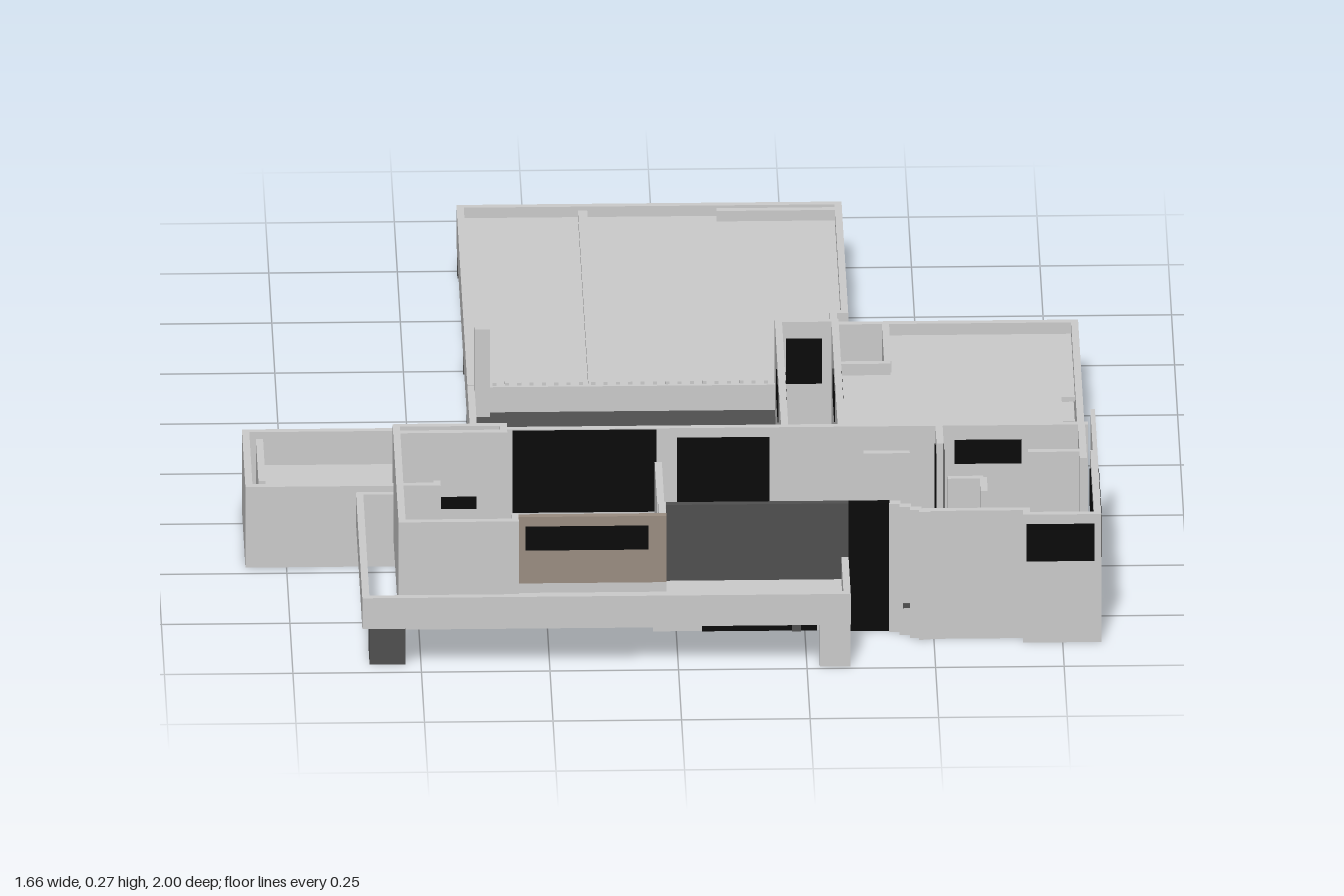
import * as THREE from 'three';

const mat = (color) => new THREE.MeshStandardMaterial({ color, side: THREE.DoubleSide });

export function createModel() {
  const root = new THREE.Group();
  root.name = 'house';
  const light = mat(0xcccccc), dark = mat(0x505050), black = mat(0x0a0a0a), tan = mat(0x9a8d82);
  const T = 0.014; // wall thickness
  const F = 0.058; // underside of the raised main floor

  const box = (name, x0, x1, y0, y1, z0, z1, m = light) => {
    const mesh = new THREE.Mesh(new THREE.BoxGeometry(x1 - x0, y1 - y0, z1 - z0), m);
    mesh.position.set((x0 + x1) / 2, (y0 + y1) / 2, (z0 + z1) / 2);
    mesh.name = name;
    root.add(mesh);
  };
  // walls along x (centred on z) and along z (centred on x)
  const wallX = (name, x0, x1, z, y0, y1, m) => box(name, x0, x1, y0, y1, z - T / 2, z + T / 2, m);
  const wallZ = (name, x, z0, z1, y0, y1, m) => box(name, x - T / 2, x + T / 2, y0, y1, z0, z1, m);
  // glass passes right through its wall
  const paneX = (x0, x1, z, y0, y1) => box('window', x0, x1, y0, y1, z - T / 2 - 0.002, z + T / 2 + 0.002, black);
  const paneZ = (x, z0, z1, y0, y1) => box('window', x - T / 2 - 0.002, x + T / 2 + 0.002, y0, y1, z0, z1, black);
  // flat slab from an outline of [x, z] points
  const slab = (name, pts, y0, y1, m = light) => {
    const shape = new THREE.Shape(pts.map(([x, z]) => new THREE.Vector2(x, -z)));
    const geo = new THREE.ExtrudeGeometry(shape, { depth: y1 - y0, bevelEnabled: false });
    geo.rotateX(-Math.PI / 2);
    geo.translate(0, y0, 0);
    const mesh = new THREE.Mesh(geo, m);
    mesh.name = name;
    root.add(mesh);
  };

  // back wing: carport roof with deep fascia and parapet
  slab('backWingRoof', [[-0.38, -0.99], [0.12, -0.99], [0.12, -0.965], [0.35, -0.965], [0.35, -0.45],
    [0.33, -0.45], [0.33, -0.1], [-0.38, -0.1]], F, 0.118);
  wallX('backFascia', -0.385, 0.12, -0.993, F, 0.14);
  wallX('backWall', 0.12, 0.364, -0.993, 0, 0.14);
  wallX('backInnerParapet', 0.12, 0.36, -0.965, F, 0.14);
  wallZ('westFascia', -0.378, -1, -0.1, F, 0.14);
  wallZ('backWingEastWall', 0.357, -1, -0.443, 0, 0.14);
  wallX('backWingReturn', 0.33, 0.364, -0.45, 0, 0.14);
  wallZ('backWingInnerWall', 0.335, -0.45, -0.1, 0, 0.14);
  box('roofRidge', -0.149, -0.131, 0.118, 0.132, -0.986, -0.107);
  wallX('garageBackWall', -0.16, 0.12, -0.95, 0, F, dark);
  wallZ('garageSideWall', -0.16, -0.95, -0.45, 0, F, dark);
  for (const z of [-0.98, -0.5]) box('carportPost', -0.384, -0.355, 0, F, z - 0.016, z + 0.016, dark);
  box('carportPier', -0.384, -0.355, 0, F, -0.2, -0.1, dark);

  // east wing: roof and floor with two openings
  const eastPlan = [[0.43, -0.39], [0.8, -0.39], [0.8, -0.07], [0.77, -0.07], [0.77, 0.1], [0.8, 0.1],
    [0.8, 0.41], [0.33, 0.41], [0.33, -0.2], [0.43, -0.2]];
  slab('eastRoof', eastPlan, 0.106, 0.116);
  slab('eastFloor', eastPlan, F, 0.065);
  wallX('eastBackWall', 0.33, 0.81, -0.393, 0, 0.14);
  wallZ('eastSideWall', 0.803, -0.4, 0.41, 0, 0.14);
  wallZ('courtWall', 0.435, -0.4, -0.2, 0, 0.14);
  wallX('courtWall', 0.33, 0.44, -0.195, 0, 0.14);
  wallX('eastFooting', 0.33, 0.76, 0.05, 0, F);
  wallZ('eastFooting', 0.57, 0.05, 0.41, 0, F);

  // roof deck
  box('deckFloor', -0.38, 0.22, F, 0.085, -0.1, 0.42, dark);
  wallZ('deckWestWall', -0.378, -0.1, 0.42, 0, 0.138);
  wallX('deckBackWall', -0.38, 0.22, -0.1, F, 0.138);
  for (let i = 0; i < 24; i++) box('deckEdgeStud', -0.36 + i * 0.024, -0.352 + i * 0.024, 0.138, 0.144, -0.108, -0.1);
  box('chimney', -0.372, -0.342, 0, 0.27, -0.1, -0.07);

  // stair block
  for (const x of [0.22, 0.33]) {
    wallZ('stairWall', x, -0.1, 0.42, 0, 0.27);
    paneZ(x, 0.07, 0.22, 0.19, 0.24);
  }
  wallX('stairEndWall', 0.213, 0.337, -0.1, 0, 0.27);
  paneX(0.235, 0.305, -0.1, 0.14, 0.235);
  for (let i = 0; i < 8; i++) {
    const z = 0.22 + i * 0.022;
    box('stairStep', 0.227, 0.323, i * 0.008, 0.009 + i * 0.008, z, z + 0.023, dark);
  }

  // main floor of the front block, raised on footings
  slab('mainFloor', [[-0.53, 0.44], [-0.33, 0.44], [-0.33, 0.42], [0.79, 0.42], [0.79, 0.84], [0.44, 0.84], [0.44, 0.8],
    [-0.03, 0.8], [-0.03, 0.85], [-0.31, 0.85], [-0.31, 0.88], [-0.53, 0.88]], F, 0.067, dark);
  wallX('mainBackWall', -0.33, 0.81, 0.425, 0, 0.27);
  paneX(0.01, 0.19, 0.425, 0.105, 0.25);
  paneX(-0.31, -0.03, 0.425, 0.095, 0.268);
  paneX(0.55, 0.68, 0.425, 0.19, 0.24);
  wallX('westRoomBackWall', -0.54, -0.32, 0.405, 0, 0.27);
  wallX('westRoomInnerWall', -0.54, -0.32, 0.438, 0, 0.27);
  paneX(-0.48, -0.38, 0.438, 0.11, 0.135);
  wallZ('westRoomReturn', -0.327, 0.4, 0.44, 0, 0.27);
  wallZ('mainWestWall', -0.535, 0.4, 0.89, F, 0.27);
  wallX('mainFrontWall', -0.54, -0.31, 0.883, F, 0.27);
  wallZ('frontReturn', -0.315, 0.85, 0.89, F, 0.27);
  wallX('frontBase', -0.31, -0.02, 0.862, F, 0.13);
  wallX('brickPanel', -0.31, -0.02, 0.862, 0.13, 0.27, tan);
  paneX(-0.295, -0.055, 0.862, 0.2, 0.25);
  wallZ('frontReturn', -0.028, 0.8, 0.856, F, 0.27);
  wallX('frontBase', -0.02, 0.335, 0.808, F, 0.11);
  wallX('darkFrontPanel', -0.02, 0.335, 0.808, 0.11, 0.27, dark);
  wallX('entranceGlass', 0.335, 0.415, 0.808, 0, 0.27, black);
  for (const [x, z] of [[0.425, 0.815], [0.445, 0.83], [0.465, 0.845], [0.482, 0.855]])
    box('entranceFin', x - 0.011, x + 0.011, 0, 0.27, z - 0.012, z + 0.006);
  wallX('eastFrontWall', 0.48, 0.68, 0.85, 0, 0.27);
  wallZ('westRoomPartition', -0.03, 0.6, 0.8, 0.067, 0.27);
  wallX('partition', 0.37, 0.46, 0.56, 0.067, 0.27);
  wallX('partition', 0.69, 0.8, 0.56, 0.067, 0.27);
  wallX('partition', 0.53, 0.6, 0.69, 0.067, 0.27);
  wallZ('partition', 0.6, 0.69, 0.76, 0.067, 0.27);
  wallZ('partition', 0.52, 0.43, 0.52, 0.067, 0.27);
  paneZ(0.52, 0.45, 0.51, 0.1, 0.24);

  // projecting corner bay with wrap-round window, and side fin
  wallX('bayFrontWall', 0.675, 0.825, 0.873, 0, 0.27);
  wallZ('baySideWall', 0.818, 0.56, 0.88, 0, 0.27);
  wallZ('bayReturn', 0.68, 0.844, 0.88, 0, 0.27);
  paneX(0.68, 0.812, 0.873, 0.172, 0.25);
  paneZ(0.818, 0.605, 0.862, 0.172, 0.25);
  wallZ('eastInnerWall', 0.797, 0.42, 0.6, 0, 0.27);
  box('sideFin', 0.816, 0.825, 0, 0.27, 0.355, 0.56);

  // front balcony: slab, deep fascia and supports
  slab('balconySlab', [[-0.6, 0.88], [-0.31, 0.88], [-0.31, 0.86], [-0.03, 0.86], [-0.03, 0.8], [0.33, 0.8],
    [0.33, 0.99], [-0.6, 0.99]], 0.095, 0.11);
  wallX('balconyFascia', -0.615, 0.335, 0.993, 0.092, 0.157);
  box('balconyKerb', -0.6, 0.32, 0.11, 0.128, 0.955, 0.968);
  wallZ('balconyWestFascia', -0.608, 0.47, 1, 0.092, 0.157);
  wallX('balconyWestEnd', -0.61, -0.535, 0.475, 0.092, 0.157);
  wallZ('balconyEastFascia', 0.328, 0.8, 1, 0.092, 0.157);
  box('balconyPier', 0.275, 0.334, 0, 0.1, 0.96, 0.99);
  wallZ('balconyEastWall', 0.328, 0.8, 0.99, 0, 0.1);
  box('balconyDarkPier', -0.6, -0.53, 0, 0.095, 0.865, 0.96, dark);

  // footings and garden windows beneath the front block
  wallX('footing', -0.53, -0.04, 0.78, 0, F);
  wallZ('footing', -0.528, 0.43, 0.78, 0, F);
  wallX('groundFrontWall', -0.045, 0.335, 0.8, 0, 0.1);
  paneX(0.05, 0.274, 0.8, 0, 0.094);
  box('windowPost', 0.225, 0.243, 0, 0.094, 0.805, 0.815, dark);
  for (const x of [-0.2, 0.1, 0.45, 0.62]) wallZ('footing', x, 0.43, 0.78, 0, F);
  wallX('footing', 0.33, 0.79, 0.62, 0, F);

  // west annex: open-topped terrace
  box('annexFloor', -0.8, -0.46, F, 0.1, 0.195, 0.455);
  wallX('annexWall', -0.83, -0.45, 0.189, 0, 0.17);
  wallX('annexWall', -0.83, -0.45, 0.463, 0, 0.17);
  wallZ('annexWall', -0.823, 0.182, 0.47, 0, 0.17);
  wallZ('annexInnerParapet', -0.797, 0.23, 0.44, F, 0.17);
  wallZ('annexWall', -0.457, 0.182, 0.47, 0, 0.17);
  return root;
}
